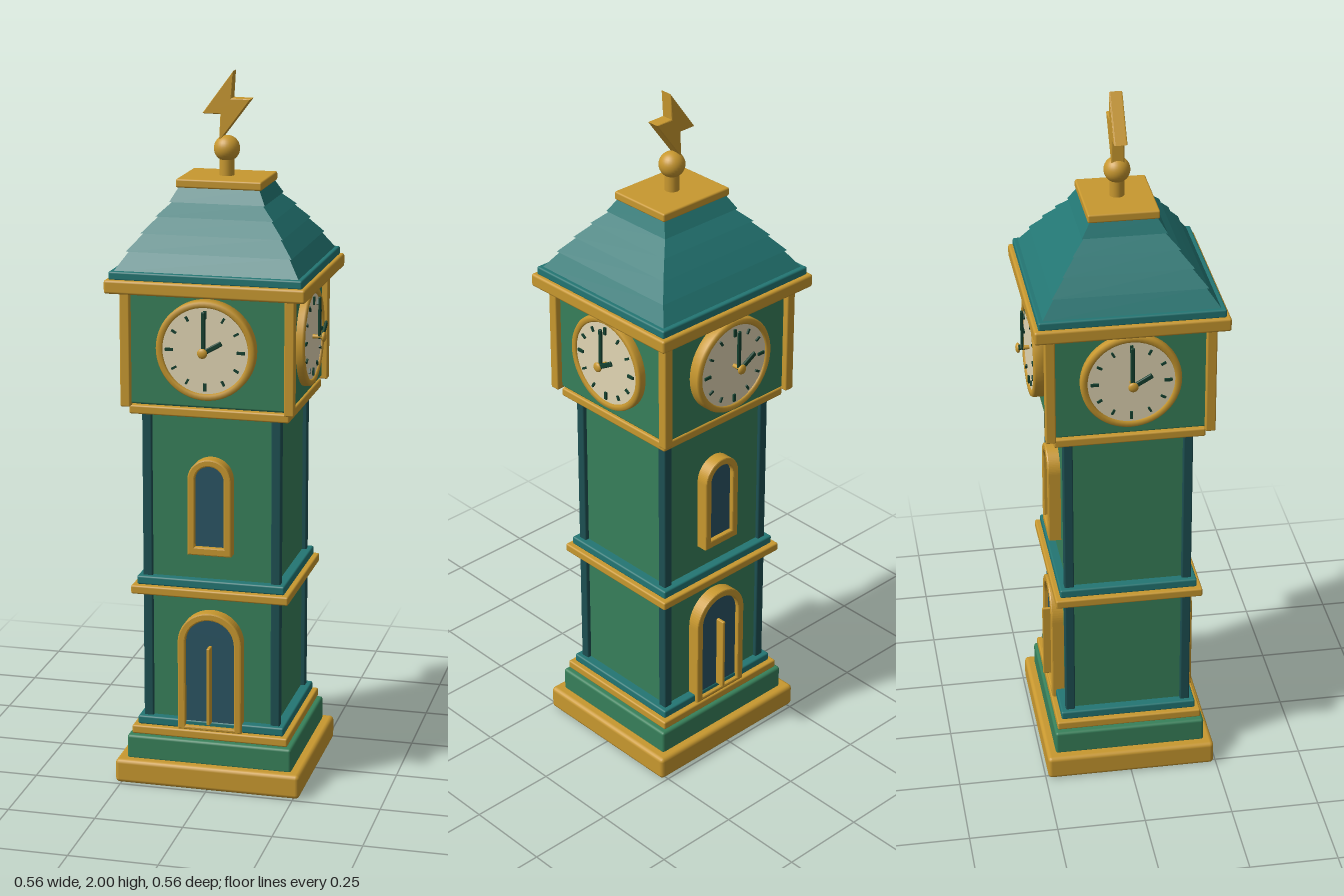
import * as THREE from 'three';
import { RoundedBoxGeometry } from 'three/addons/geometries/RoundedBoxGeometry.js';

const mat = (color) => new THREE.MeshStandardMaterial({ color });

export function createModel() {
  const root = new THREE.Group();
  const gold = mat(0xc8982f), green = mat(0x37805a), teal = mat(0x237673);
  const darkTeal = mat(0x1d5052), blue = mat(0x2a5463), cream = mat(0xe2d6b4), ink = mat(0x14402f);

  const add = (name, geometry, material, parent = root) => {
    const mesh = new THREE.Mesh(geometry, material);
    mesh.name = name;
    parent.add(mesh);
    return mesh;
  };
  // Slab given by its half width, half depth and bottom / top heights
  const slab = (name, hx, hz, y0, y1, material, r = 0.005) => {
    const geo = new RoundedBoxGeometry(2 * hx, y1 - y0, 2 * hz, 2, Math.min(r, (y1 - y0) * 0.45));
    const mesh = add(name, geo, material);
    mesh.position.y = (y0 + y1) / 2;
    return mesh;
  };
  // Four upright posts mirrored to the corners
  const posts = (name, x, z, size, y0, y1, material) => {
    for (const sx of [-1, 1]) for (const sz of [-1, 1]) {
      const post = slab(name, size / 2, size / 2, y0, y1, material, 0.004);
      post.position.x = sx * x;
      post.position.z = sz * z;
    }
  };
  // Tapered roof course: a box with its top corners drawn in
  const course = (name, bx, bz, tx, tz, y0, y1) => {
    const geo = new THREE.BoxGeometry(2, y1 - y0, 2);
    const p = geo.attributes.position;
    for (let i = 0; i < p.count; i++) {
      const top = p.getY(i) > 0;
      p.setX(i, p.getX(i) * (top ? tx : bx));
      p.setZ(i, p.getZ(i) * (top ? tz : bz));
    }
    geo.computeVertexNormals();
    add(name, geo, teal).position.y = (y0 + y1) / 2;
  };

  // Plinth
  slab('basePlate', 0.267, 0.243, 0, 0.07, gold, 0.012);
  slab('plinth', 0.238, 0.217, 0.065, 0.137, green, 0.008);

  // Shaft with corner posts and bands
  slab('shaft', 0.184, 0.17, 0.13, 1.1, green);
  posts('shaftCornerPost', 0.183, 0.167, 0.027, 0.13, 1.1, darkTeal);
  for (const y of [0.14, 0.557, 1.078]) {
    slab('goldBand', 0.225, 0.209, y, y + 0.025, gold);
    slab('tealBand', 0.211, 0.195, y + 0.025, y + 0.05, teal);
  }

  // Clock room
  slab('clockRoom', 0.226, 0.216, 1.11, 1.425, green);
  posts('clockRoomPost', 0.229, 0.219, 0.028, 1.103, 1.425, gold);
  slab('eave', 0.278, 0.264, 1.422, 1.46, gold, 0.007);

  // Stepped roof
  slab('roofBase', 0.267, 0.252, 1.458, 1.482, teal);
  const steps = [[0.256, 0.24, 1.48], [0.229, 0.21, 1.53], [0.197, 0.177, 1.575],
    [0.164, 0.145, 1.617], [0.133, 0.115, 1.653], [0.112, 0.09, 1.692]];
  for (let i = 0; i < 5; i++) {
    const [bx, bz, y0] = steps[i], [tx, tz, y1] = steps[i + 1];
    const inset = i < 4 ? 0.007 : 0;
    course('roofCourse', bx, bz, tx - inset, tz - inset, y0, y1);
  }
  slab('roofCap', 0.12, 0.097, 1.69, 1.714, gold);

  // Finial with lightning bolt
  add('finialStem', new THREE.CylinderGeometry(0.02, 0.02, 0.06, 20), gold).position.y = 1.735;
  add('finialBall', new THREE.SphereGeometry(0.036, 28, 18), gold).position.y = 1.788;
  const bolt = new THREE.Shape([[0.02, 1.997], [-0.062, 1.885], [-0.012, 1.885],
    [-0.017, 1.812], [0.067, 1.924], [0.014, 1.924]].map(([x, y]) => new THREE.Vector2(x, y)));
  const boltGeo = new THREE.ExtrudeGeometry(bolt, { depth: 0.028, bevelThickness: 0.004, bevelSize: 0.003, bevelSegments: 2 });
  boltGeo.translate(0, 0, -0.014);
  add('lightningBolt', boltGeo, gold);

  // Round-headed outline
  const arch = (Type, w, y0, top) => {
    const s = new Type();
    s.moveTo(-w, y0);
    s.lineTo(w, y0);
    s.lineTo(w, top - w);
    s.absarc(0, top - w, w, 0, Math.PI, false);
    s.lineTo(-w, y0);
    return s;
  };
  // Framed arched opening standing on the wall
  const opening = (name, parent, w, y0, top, rim, sill) => {
    const frame = arch(THREE.Shape, w - 0.004, y0 + 0.004, top - 0.004);
    frame.holes.push(arch(THREE.Path, w - rim + 0.004, y0 + sill, top - rim + 0.004));
    const geo = new THREE.ExtrudeGeometry(frame, { depth: 0.034, bevelThickness: 0.004, bevelSize: 0.004, bevelSegments: 2, curveSegments: 20 });
    add(name + 'Frame', geo, gold, parent).position.z = 0.168;
    const panel = new THREE.ExtrudeGeometry(arch(THREE.Shape, w - rim + 0.006, y0 + 0.006, top - rim + 0.006),
      { depth: 0.03, bevelEnabled: false, curveSegments: 20 });
    add(name + 'Panel', panel, blue, parent).position.z = 0.163;
  };
  // Door and window on the front and back
  for (const turn of [0, Math.PI]) {
    const wall = new THREE.Group();
    wall.name = 'wallOpenings';
    wall.rotation.y = turn;
    root.add(wall);
    opening('door', wall, 0.092, 0.165, 0.515, 0.022, 0.008);
    opening('window', wall, 0.062, 0.683, 0.96, 0.021, 0.02);
    add('doorStrip', new RoundedBoxGeometry(0.01, 0.228, 0.034, 2, 0.003), gold, wall).position.set(0, 0.302, 0.203);
  }

  // Clock on each of the four sides
  for (let side = 0; side < 4; side++) {
    const clock = new THREE.Group();
    clock.name = 'clock';
    const pivot = new THREE.Group();
    pivot.name = 'clockSide';
    pivot.rotation.y = side * Math.PI / 2;
    pivot.add(clock);
    root.add(pivot);
    clock.position.set(0, 1.275, 0.21);

    const rim = [[0.119, 0], [0.138, 0], [0.138, 0.033], [0.134, 0.039], [0.123, 0.039], [0.119, 0.034], [0.119, 0]];
    const rimGeo = new THREE.LatheGeometry(rim.map(([r, y]) => new THREE.Vector2(r, y)), 56);
    add('clockRim', rimGeo, gold, clock).rotation.x = Math.PI / 2;
    const face = add('clockFace', new THREE.CylinderGeometry(0.122, 0.122, 0.034, 56), cream, clock);
    face.rotation.x = Math.PI / 2;
    face.position.z = 0.017;

    for (let i = 0; i < 12; i++) {
      const a = i * Math.PI / 6, main = i % 3 === 0;
      const tick = add('hourMark', new THREE.BoxGeometry(main ? 0.008 : 0.006, main ? 0.022 : 0.015, 0.006), ink, clock);
      tick.position.set(Math.sin(a) * 0.1, Math.cos(a) * 0.1, 0.036);
      tick.rotation.z = -a;
    }
    const hand = (name, length, width, angle, z) => {
      const geo = new RoundedBoxGeometry(width, length, 0.008, 2, 0.003);
      geo.translate(0, length / 2 - 0.006, 0);
      const mesh = add(name, geo, ink, clock);
      mesh.position.z = z;
      mesh.rotation.z = -angle;
    };
    hand('minuteHand', 0.118, 0.011, 0, 0.053);
    hand('hourHand', 0.066, 0.014, Math.PI / 3, 0.061);
    const spindle = add('handSpindle', new THREE.CylinderGeometry(0.006, 0.006, 0.04, 12), gold, clock);
    spindle.rotation.x = Math.PI / 2;
    spindle.position.z = 0.046;
    const knob = add('handKnob', new THREE.SphereGeometry(0.014, 20, 12), gold, clock);
    knob.scale.z = 0.5;
    knob.position.z = 0.065;
  }
  return root;
}
